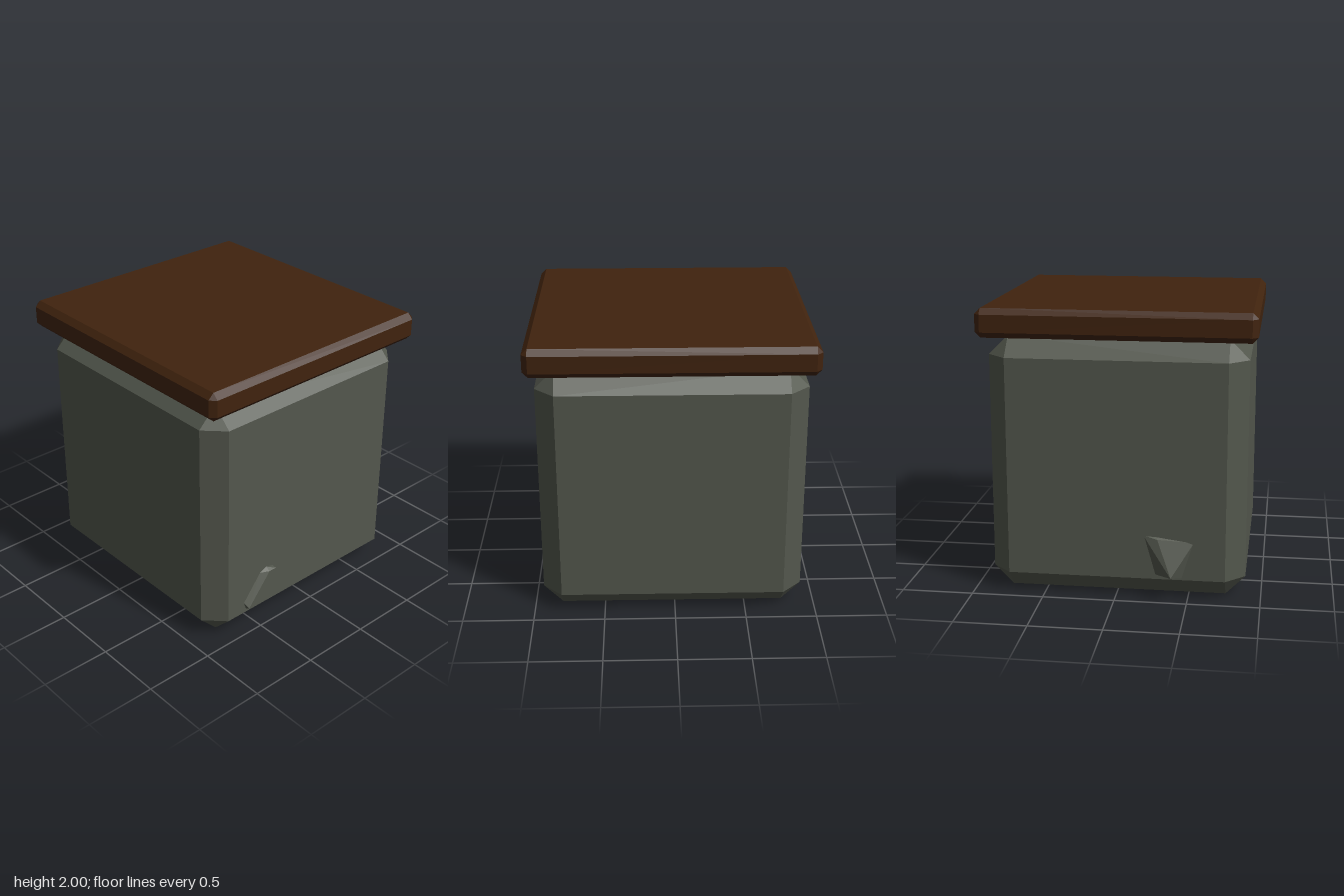
import * as THREE from 'three';
import { ConvexGeometry } from 'three/addons/geometries/ConvexGeometry.js';

const stone = new THREE.MeshStandardMaterial({ color: 0x53574d });
stone.name = 'grey stone';
const wood = new THREE.MeshStandardMaterial({ color: 0x40230e });
wood.name = 'dark wood';

// Convex solid with flat faces around a list of [x, y, z] corners
function hull(name, corners, material) {
  const points = corners.map((c) => new THREE.Vector3(...c));
  const mesh = new THREE.Mesh(new ConvexGeometry(points), material);
  mesh.name = name;
  return mesh;
}

// Box whose edges and corners are all bevelled by c
function bevelledBox(name, w, h, d, c, material) {
  const corners = [];
  for (const x of [-1, 1]) for (const y of [-1, 1]) for (const z of [-1, 1]) {
    const X = x * w / 2, Y = y * h / 2, Z = z * d / 2;
    corners.push(
      [X, Y - y * c, Z - z * c],
      [X - x * c, Y, Z - z * c],
      [X - x * c, Y - y * c, Z],
    );
  }
  return hull(name, corners, material);
}

export function createModel() {
  const model = new THREE.Group();
  model.name = 'stoneBlockWithLid';

  // Stone block
  const body = bevelledBox('body', 1.845, 1.795, 1.78, 0.135, stone);
  body.position.set(0.0175, 0.9, 0);
  model.add(body);

  // Overhanging wooden slab
  const lid = bevelledBox('lid', 1.96, 0.2, 1.89, 0.04, wood);
  lid.position.set(0.02, 1.9, 0);
  model.add(lid);

  // Blunt stone chip on the left side: flat outer face, then its root in the wall
  model.add(hull('leftChip', [
    [0.975, 0.415, 0.4], [0.975, 0.415, 0.34], [0.975, 0.21, 0.26], [0.975, 0.185, 0.59],
    [0.94, 0.435, 0.4], [0.94, 0.41, 0.46], [0.94, 0.42, 0.34],
    [0.94, 0.22, 0.61], [0.94, 0.165, 0.59], [0.94, 0.19, 0.27],
    [0.9, 0.3, 0.4], [0.9, 0.22, 0.5], [0.9, 0.22, 0.33],
  ], stone));

  // Pointed stone chip on the right side
  model.add(hull('rightChip', [
    [-1.0, 0.18, 0.39], [-0.925, 0.43, 0.29],
    [-0.9, 0.45, 0.19], [-0.9, 0.445, 0.28], [-0.9, 0.41, 0.54],
    [-0.9, 0.15, 0.46], [-0.9, 0.17, 0.27],
    [-0.86, 0.3, 0.35],
  ], stone));

  return model;
}
